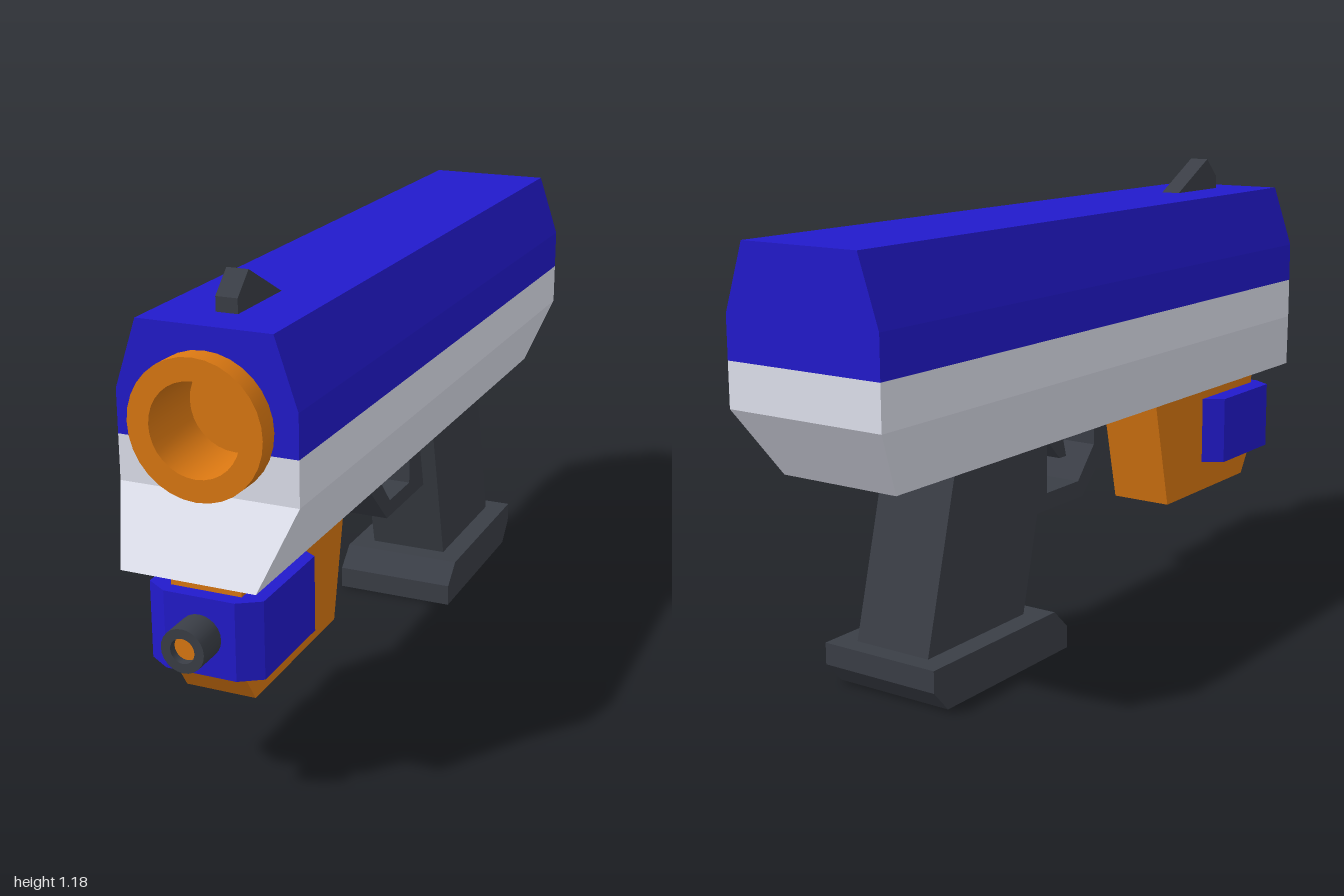
import * as THREE from 'three';
import { toCreasedNormals } from 'three/addons/utils/BufferGeometryUtils.js';

const flat = (color) => new THREE.MeshStandardMaterial({ color, flatShading: true });
const smooth = (color) => new THREE.MeshStandardMaterial({ color });
const BLUE = 0x221acc, ORANGE = 0xdb7812, DARK = 0x3a3e46, PALE = 0xe0e2ee;

const toShape = (pts) => new THREE.Shape(pts.map(([a, b]) => new THREE.Vector2(a, b)));

// Section in (x, y) swept from z0 to z1
function alongZ(shape, z0, z1) {
  return new THREE.ExtrudeGeometry(shape, { depth: z1 - z0, bevelEnabled: false, curveSegments: 24 })
    .translate(0, 0, z0);
}

// Side profile in (z, y), centred on x = 0 with the given half width
function sideProfile(pts, half) {
  return new THREE.ExtrudeGeometry(toShape(pts), { depth: half * 2, bevelEnabled: false })
    .translate(0, 0, -half).rotateY(-Math.PI / 2);
}

// Turned part, profile in (radius, z), axis along z at height y
function turned(pts, y, segments) {
  const g = new THREE.LatheGeometry(pts.map(([r, z]) => new THREE.Vector2(r, z)), segments);
  return toCreasedNormals(g.rotateX(Math.PI / 2).translate(0, y, 0), 0.6);
}

export function createModel() {
  const model = new THREE.Group();
  const add = (name, geometry, material) => {
    const mesh = new THREE.Mesh(geometry, material);
    mesh.name = name;
    model.add(mesh);
  };

  const boreY = 0.878, split = 0.825, cutR = 0.14;
  const a = Math.asin((boreY - split) / cutR), cutX = cutR * Math.cos(a);
  const back = -1, front = 0.86, step = 0.7;

  // Slide: solid rear, front portion cut out around the bore
  const slideTop = [[0.22, split], [0.22, 0.93], [0.165, 1.095], [-0.165, 1.095], [-0.22, 0.93], [-0.22, split]];
  const slideCut = toShape([...slideTop, [-cutX, split]]);
  slideCut.absarc(0, boreY, cutR, Math.PI + a, -a, true);
  add('slideRear', alongZ(toShape(slideTop), back, step), flat(BLUE));
  add('slideFront', alongZ(slideCut, step, front), flat(BLUE));

  // Frame: upright band with the same cut, then a tapering, raked underside
  const band = [[-0.22, split], [-0.22, 0.715], [0.22, 0.715], [0.22, split]];
  const bandCut = toShape([...band, [cutX, split]]);
  bandCut.absarc(0, boreY, cutR, -a, -Math.PI + a, true);
  add('frameBandRear', alongZ(toShape(band), back, step), flat(PALE));
  add('frameBandFront', alongZ(bandCut, step, front), flat(PALE));

  const under = new THREE.BoxGeometry(0.44, 0.165, 1.86);
  const p = under.attributes.position;
  for (let i = 0; i < p.count; i++) {
    if (p.getY(i) < 0) {
      p.setX(i, p.getX(i) * 0.75);
      p.setZ(i, p.getZ(i) + 0.107);
    }
  }
  add('frameUnderside', under.translate(0, 0.6325, -0.07), flat(PALE));

  // Barrel with a blind bore
  add('barrel', turned([[0.163, 0.85], [0.163, 0.915], [0.11, 0.915], [0.11, 0.73], [0, 0.73]], boreY, 32), smooth(ORANGE));

  // Sight
  add('frontSight', sideProfile([[0.53, 1.093], [0.75, 1.093], [0.75, 1.13], [0.695, 1.182]], 0.027), flat(DARK));

  // Grip and its base plate
  add('grip', sideProfile([[-0.345, 0.11], [-0.235, 0.55], [-0.61, 0.55], [-0.725, 0.11]], 0.108), flat(DARK));
  add('gripBase', sideProfile([[-0.235, 0], [-0.235, 0.058], [-0.29, 0.11], [-0.775, 0.11], [-0.775, 0.055], [-0.725, 0]], 0.165), flat(DARK));

  // Trigger and guard
  add('triggerGuard', sideProfile([
    [0.095, 0.55], [0.04, 0.55], [0.04, 0.465], [-0.035, 0.38], [-0.178, 0.38], [-0.178, 0.55],
    [-0.25, 0.55], [-0.3, 0.335], [-0.015, 0.335], [0.095, 0.445],
  ], 0.065), flat(DARK));
  add('trigger', sideProfile([[-0.07, 0.55], [-0.04, 0.445], [-0.07, 0.445], [-0.175, 0.55]], 0.03), flat(DARK));

  // Mount block under the muzzle
  add('lightMount', sideProfile([[0.885, 0.55], [0.885, 0.305], [0.83, 0.22], [0.39, 0.22], [0.315, 0.55]], 0.088), flat(ORANGE));

  // Light housing: plan with chamfered corners, raised upright
  const plan = toShape([
    [0.088, -0.92], [0.142, -0.885], [0.142, -0.62], [0.088, -0.585],
    [-0.088, -0.585], [-0.142, -0.62], [-0.142, -0.885], [-0.088, -0.92],
  ]);
  add('lightHousing', alongZ(plan, 0, 0.19).rotateX(-Math.PI / 2).scale(1, 1, 1)
    .rotateY(Math.PI).translate(0, 0.305, 0).rotateY(Math.PI), flat(BLUE));

  // Light tube and lens
  add('lightTube', turned([[0.053, 0.91], [0.053, 1], [0.03, 1], [0.03, 0.975]], 0.4, 24), smooth(DARK));
  add('lightLens', new THREE.CircleGeometry(0.031, 24).translate(0, 0.4, 0.98), smooth(ORANGE));

  return model;
}
